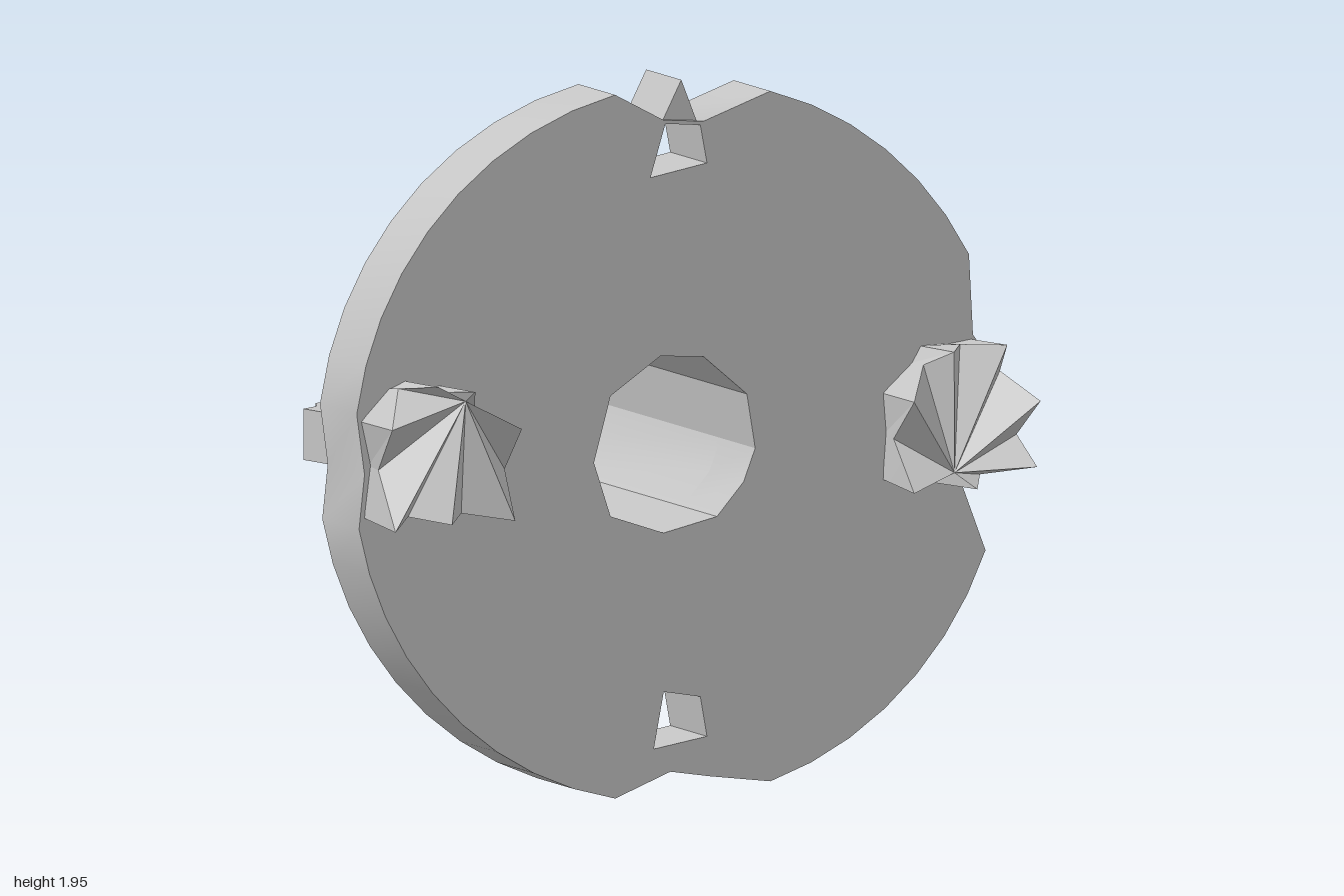
import * as THREE from 'three';
import { toCreasedNormals } from 'three/addons/utils/BufferGeometryUtils.js';

const CY = 0.98; // height of the axis

const vec2 = (pts) => pts.map(([x, y]) => new THREE.Vector2(x, y));

function extrude(outline, holes, z0, z1) {
  const shape = new THREE.Shape(vec2(outline));
  shape.holes = holes.map((h) => new THREE.Path(vec2(h)));
  const g = new THREE.ExtrudeGeometry(shape, { depth: z1 - z0, bevelEnabled: false });
  return g.translate(0, 0, z0);
}

function indexed(pos, idx) {
  const g = new THREE.BufferGeometry();
  g.setAttribute('position', new THREE.Float32BufferAttribute(pos, 3));
  g.setIndex(idx);
  return g;
}

// Points along the disc edge between two angles in degrees
function arc(from, to, steps) {
  return Array.from({ length: steps + 1 }, (_, i) => {
    const a = THREE.MathUtils.degToRad(from + ((to - from) * i) / steps);
    return [0.983 * Math.cos(a), CY + 0.983 * Math.sin(a)];
  });
}

export function createModel() {
  const group = new THREE.Group();
  const steel = new THREE.MeshStandardMaterial({ color: 0xc4c4c4 });
  steel.name = 'grey steel';

  function add(name, geometry, crease = 0.5) {
    const mesh = new THREE.Mesh(toCreasedNormals(geometry, crease), steel);
    mesh.name = name;
    group.add(mesh);
  }

  const bore = [[-0.06, 1.22], [0.07, 1.21], [0.2, 1.1], [0.225, 0.95], [0.19, 0.86],
    [0.11, 0.77], [-0.05, 0.735], [-0.21, 0.79], [-0.26, 0.94], [-0.21, 1.12]];

  // Flange disc with rim notches, bore and two small windows
  const leftFlank = [...arc(-74, -21, 7), [0.84, 0.83], [0.99, 0.95], [0.97, 1.1], [0.88, 1.22], ...arc(28, 74, 6)];
  const rightFlank = [...arc(101.5, 172, 9), [-0.95, 0.95], ...arc(190.5, 258.5, 9)];
  const rim = [...leftFlank, [0.07, 1.855], [-0.05, 1.865], ...rightFlank, [-0.03, 0.08], [0.09, 0.06]];
  const topWindow = [[-0.045, 1.855], [0.06, 1.845], [0.08, 1.74], [-0.09, 1.71]];
  const bottomWindow = [[-0.05, 0.3], [0.06, 0.28], [0.08, 0.17], [-0.08, 0.145]];
  add('flangeDisc', extrude(rim, [bore, topWindow, bottomWindow], 0.155, 0.385));

  // Back of the flange on each side: chamfered edge, bulging rearward at mid height
  for (const [name, flank] of [['leftFlangeBack', leftFlank], ['rightFlangeBack', rightFlank]]) {
    const pos = [], idx = [];
    flank.forEach(([x, y], i) => {
      const rise = THREE.MathUtils.clamp((Math.abs(y - CY) - 0.12) / 0.65, 0, 1);
      const z = 0.08 + 0.068 * rise;
      for (const [k, depth] of [[1, 0.175], [0.94, z], [0.5, z + 0.03 * (1 - rise)]]) {
        pos.push(x * k, CY + (y - CY) * k, depth);
      }
      if (i === 0) return;
      for (let j = 0; j < 2; j++) {
        const a = 3 * (i - 1) + j, b = 3 * i + j;
        idx.push(a, a + 1, b, b, a + 1, b + 1);
      }
    });
    // End walls closing the raised back down to the disc
    const last = 3 * (flank.length - 1), n = 3 * flank.length;
    for (const v of [1, 2, last + 1, last + 2]) pos.push(pos[3 * v], pos[3 * v + 1], 0.16);
    idx.push(1, n, 2, 2, n, n + 1, last + 1, last + 2, n + 2, last + 2, n + 3, n + 2);
    add(name, indexed(pos, idx), 0.35);
  }

  // Pointed key standing in the top notch
  add('topKey', extrude([[-0.05, 1.855], [0.06, 1.845], [0.01, 1.97]], [], 0.15, 0.37), 0.1);

  // Hub: round at the rear, spreading into ribs and side flutes at the flange
  const circle = [];
  for (let i = 0; i < 40; i++) {
    const a = (i / 40) * Math.PI * 2;
    circle.push([-0.02 + 0.545 * Math.cos(a), CY + 0.545 * Math.sin(a)]);
  }
  const hub = extrude(circle, [bore], -0.6, 0.17);
  const p = hub.attributes.position;
  for (let i = 0; i < p.count; i++) {
    const x = p.getX(i) + 0.02, y = p.getY(i) - CY;
    if (p.getZ(i) < 0 || Math.hypot(x, y) < 0.4) continue;
    const a = Math.atan2(y, x), s = Math.abs(Math.sin(a));
    const fluted = s < 0.73 && !(x > 0 && y > 0.1);
    const r = fluted ? 0.61 - 0.08 * s : 0.625 + 0.035 * s;
    p.setXYZ(i, 0.005 + r * Math.cos(a), CY - 0.022 + r * Math.sin(a), 0.17);
  }
  add('hub', hub);

  // Rear prongs: fingers with a slanted shoulder or a small spur
  const fingers = {
    leftRearProng: [[0.64, 0.12], [0.65, -0.08], [0.72, -0.17], [0.83, -0.17], [0.85, -0.14], [0.85, 0.12]],
    rightRearProng: [[-0.7, 0.12], [-0.71, -0.17], [-0.81, -0.17], [-0.84, -0.15], [-0.86, -0.1], [-0.915, -0.07], [-0.87, 0.12]],
  };
  for (const [name, outline] of Object.entries(fingers)) {
    const prong = extrude(outline, [], 0, 0.14);
    add(name, prong.rotateX(Math.PI / 2).translate(0, 1.07, 0));
  }

  // Front lugs: jagged crowns of tips and valleys fanning from an off-centre apex
  const lugs = {
    leftFrontLug: {
      apex: [0.75, 0.87, 0.54],
      edge: [[0.98, 0.95, 0.45], [0.98, 1.06, 0.6], [0.92, 1.13, 0.47], [0.88, 1.22, 0.6], [0.8, 1.21, 0.47],
        [0.72, 1.21, 0.6], [0.69, 1.16, 0.47], [0.6, 1.08, 0.6], [0.61, 0.96, 0.45], [0.6, 0.83, 0.6],
        [0.7, 0.84, 0.47], [0.79, 0.83, 0.6], [0.86, 0.85, 0.47], [0.97, 0.88, 0.6]],
    },
    rightFrontLug: {
      apex: [-0.73, 1.16, 0.56],
      edge: [[-0.56, 0.95, 0.45], [-0.58, 1.08, 0.6], [-0.66, 1.11, 0.47], [-0.72, 1.19, 0.6], [-0.78, 1.18, 0.5],
        [-0.83, 1.21, 0.6], [-0.88, 1.19, 0.45], [-0.97, 1.1, 0.6], [-0.94, 0.97, 0.45], [-0.96, 0.82, 0.6],
        [-0.86, 0.84, 0.47], [-0.79, 0.83, 0.6], [-0.7, 0.84, 0.47], [-0.6, 0.83, 0.6]],
    },
  };
  for (const [name, { apex, edge }] of Object.entries(lugs)) {
    const pos = [...apex], idx = [], n = edge.length;
    const cx = Math.sign(apex[0]) * 0.78, cy = 1.01;
    edge.forEach(([x, y, z], i) => {
      pos.push(x, y, z, cx + (x - cx) * 0.94, cy + (y - cy) * 0.94, 0.37);
      const a = 1 + 2 * i, b = 1 + 2 * ((i + 1) % n);
      idx.push(0, a, b, a, a + 1, b + 1, a, b + 1, b);
    });
    add(name, indexed(pos, idx), 0.1);
  }

  return group;
}
